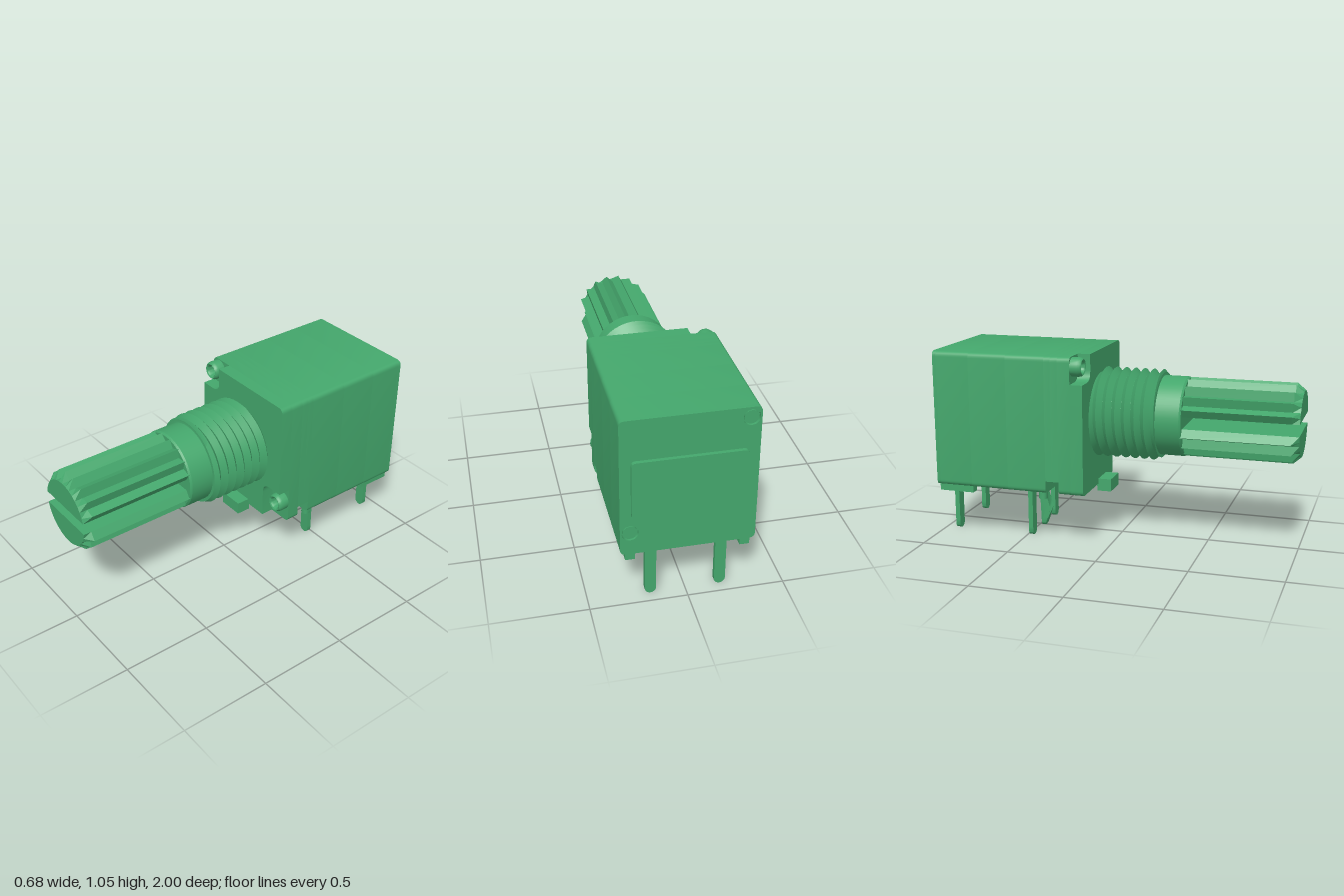
import * as THREE from 'three';
import { toCreasedNormals } from 'three/addons/utils/BufferGeometryUtils.js';

const green = new THREE.MeshStandardMaterial({ color: 0x44a76c });
green.name = 'green';

const AXIS_Y = 0.7; // height of the shaft axis

export function createModel() {
  const model = new THREE.Group();
  model.name = 'rotaryControl';

  const add = (name, geometry, x = 0, y = 0, z = 0, crease = 0.55) => {
    const mesh = new THREE.Mesh(toCreasedNormals(geometry, crease), green);
    mesh.name = name;
    mesh.position.set(x, y, z);
    model.add(mesh);
    return mesh;
  };

  // Polygon from [x, y, cornerRadius] corners
  const roundedShape = (corners) => {
    const shape = new THREE.Shape();
    const n = corners.length;
    corners.forEach(([x, y, r], i) => {
      const p = new THREE.Vector2(x, y);
      const toward = (c) => new THREE.Vector2(c[0], c[1]).sub(p).setLength(r).add(p);
      const a = toward(corners[(i + n - 1) % n]);
      const b = toward(corners[(i + 1) % n]);
      if (i === 0) shape.moveTo(a.x, a.y);
      else shape.lineTo(a.x, a.y);
      if (r > 0) shape.quadraticCurveTo(x, y, b.x, b.y);
    });
    shape.closePath();
    return shape;
  };
  const rect = (x0, y0, x1, y1, r, rBottom = r) =>
    roundedShape([[x0, y0, rBottom], [x1, y0, rBottom], [x1, y1, r], [x0, y1, r]]);
  const slab = (name, shape, z0, z1) =>
    add(name, new THREE.ExtrudeGeometry(shape, { depth: z1 - z0, bevelEnabled: false, curveSegments: 6 }), 0, 0, z0);

  // Housing, stacked from front to back
  const full = () => rect(-0.34, 0.295, 0.34, 1.05, 0.03);
  const notched = () => rect(-0.34, 0.365, 0.34, 1.05, 0.03, 0);
  const rivets = [[-0.29, 0.995], [0.29, 0.42]];

  slab('frontPlate', roundedShape([
    [-0.34, 0.295, 0.03], [0.2, 0.295, 0], [0.2, 0.51, 0.06], [0.34, 0.51, 0],
    [0.34, 1.05, 0.03], [-0.2, 1.05, 0], [-0.2, 0.905, 0.06], [-0.34, 0.905, 0],
  ]), -0.19, -0.12);
  slab('frontHousing', full(), -0.26, -0.19);
  slab('frontNotch', notched(), -0.3, -0.26);
  slab('middleNotch', notched(), -0.335, -0.3);
  slab('middleHousing', full(), -0.555, -0.335);
  slab('rearHousing', full(), -0.77, -0.555);
  slab('backHousing', full(), -0.96, -0.77);
  const backFace = full();
  rivets.forEach(([x, y]) => backFace.holes.push(new THREE.Path().absarc(x, y, 0.043, 0, Math.PI * 2, true)));
  slab('backFace', backFace, -0.98, -0.96);
  slab('backPanel', rect(-0.285, 0.51, 0.285, 0.83, 0.025), -1, -0.975);

  // Hollow rivets with a rolled rim, and their plain ends at the back
  const rivetProfile = [
    [0.051, 0], [0.052, 0.04], [0.049, 0.054], [0.042, 0.062], [0.035, 0.058], [0.03, 0.048], [0.03, 0.02], [0, 0.02],
  ].map(([r, h]) => new THREE.Vector2(r, h));
  rivets.forEach(([x, y]) => {
    add('rivet', new THREE.LatheGeometry(rivetProfile, 28).rotateX(Math.PI / 2), x, y, -0.19);
    add('rivetEnd', new THREE.CylinderGeometry(0.036, 0.036, 0.02, 24).rotateX(Math.PI / 2), x, y, -0.966);
  });

  // Locating tab, round pegs and rear feet
  add('locatingTab', new THREE.BoxGeometry(0.144, 0.07, 0.08), 0, 0.29, -0.087);
  for (const side of [-1, 1]) {
    add('peg', new THREE.CylinderGeometry(0.024, 0.024, 0.06, 16), side * 0.29, 0.285, -0.367);
    add('rearFoot', new THREE.BoxGeometry(0.05, 0.06, 0.2), side * 0.29, 0.287, -0.875);
  }

  // Flat solder pins with round ends; the middle one is kinked forward
  const pin = (name, x, z, bend) => {
    const points = [];
    const w = 0.029, rows = 14, top = 0.31;
    for (let i = 0; i <= rows; i++) points.push(new THREE.Vector2(-w, top + (w - top) * i / rows));
    for (let i = 1; i < 10; i++) {
      const a = Math.PI + Math.PI * i / 10;
      points.push(new THREE.Vector2(w * Math.cos(a), w + w * Math.sin(a)));
    }
    for (let i = 0; i <= rows; i++) points.push(new THREE.Vector2(w, w + (top - w) * i / rows));
    const geometry = new THREE.ExtrudeGeometry(new THREE.Shape(points), { depth: 0.026, bevelEnabled: false });
    const pos = geometry.attributes.position;
    for (let i = 0; i < pos.count; i++) {
      const kink = Math.max(0, 1 - Math.abs(pos.getY(i) - 0.11) / 0.115);
      pos.setZ(i, pos.getZ(i) + bend * kink);
    }
    add(name, geometry, x, 0, z);
  };
  pin('frontPin', -0.18, -0.49, 0);
  pin('kinkedPin', 0, -0.49, 0.037);
  pin('frontPin', 0.18, -0.49, 0);
  pin('rearPin', -0.18, -0.94, 0);
  pin('rearPin', 0.18, -0.94, 0);

  // Threaded bushing: a zigzag lathe sheared into a helix and trimmed at both ends
  const pitch = 0.053, start = -0.25, end = 0.24;
  const zigzag = [];
  for (let i = 0; i <= 20; i++) zigzag.push(new THREE.Vector2(i % 2 ? 0.25 : 0.218, start + i * pitch / 2));
  const turns = 48;
  const thread = new THREE.LatheGeometry(zigzag, turns);
  const tp = thread.attributes.position;
  for (let i = 0; i < tp.count; i++) {
    const step = Math.floor(i / zigzag.length);
    const y = THREE.MathUtils.clamp(tp.getY(i) + pitch * step / turns, -0.16, end);
    const r = Math.hypot(tp.getX(i), tp.getZ(i));
    const k = Math.min(r, 0.235 + (end - y)) / r;
    tp.setXYZ(i, tp.getX(i) * k, y, tp.getZ(i) * k);
  }
  add('threadedBushing', thread.rotateX(Math.PI / 2), 0, AXIS_Y, 0);

  // Smooth collar, closing the bushing and carrying the shaft
  const collar = [[0, -0.1], [0.218, -0.1], [0.218, 0.37], [0.21, 0.38], [0, 0.38]].map(([r, h]) => new THREE.Vector2(r, h));
  add('collar', new THREE.LatheGeometry(collar, 40).rotateX(Math.PI / 2), 0, AXIS_Y, 0);

  // Splined shaft: two toothed halves either side of the slot, tapered at the tip
  const root = 0.178, crest = 0.215, length = 0.625;
  for (const half of [0, 1]) {
    const teeth = [];
    for (let i = 0; i <= 16; i++) {
      const a = THREE.MathUtils.degToRad(10.5 + i * 159 / 16);
      const r = i % 2 ? crest : root;
      teeth.push(new THREE.Vector2(r * Math.cos(a), r * Math.sin(a)));
    }
    const geometry = new THREE.ExtrudeGeometry(new THREE.Shape(teeth), { depth: length, steps: 2, bevelEnabled: false });
    const pos = geometry.attributes.position;
    for (let i = 0; i < pos.count; i++) {
      const z = pos.getZ(i);
      if (z > length - 0.001) {
        const k = root / Math.hypot(pos.getX(i), pos.getY(i));
        pos.setX(i, pos.getX(i) * k);
        pos.setY(i, pos.getY(i) * k);
      } else if (z > 0.001) pos.setZ(i, length - 0.042);
    }
    geometry.rotateZ(half * Math.PI);
    add(half ? 'lowerShaftHalf' : 'upperShaftHalf', geometry, 0, AXIS_Y, 0.375, 0.1);
  }

  return model;
}
